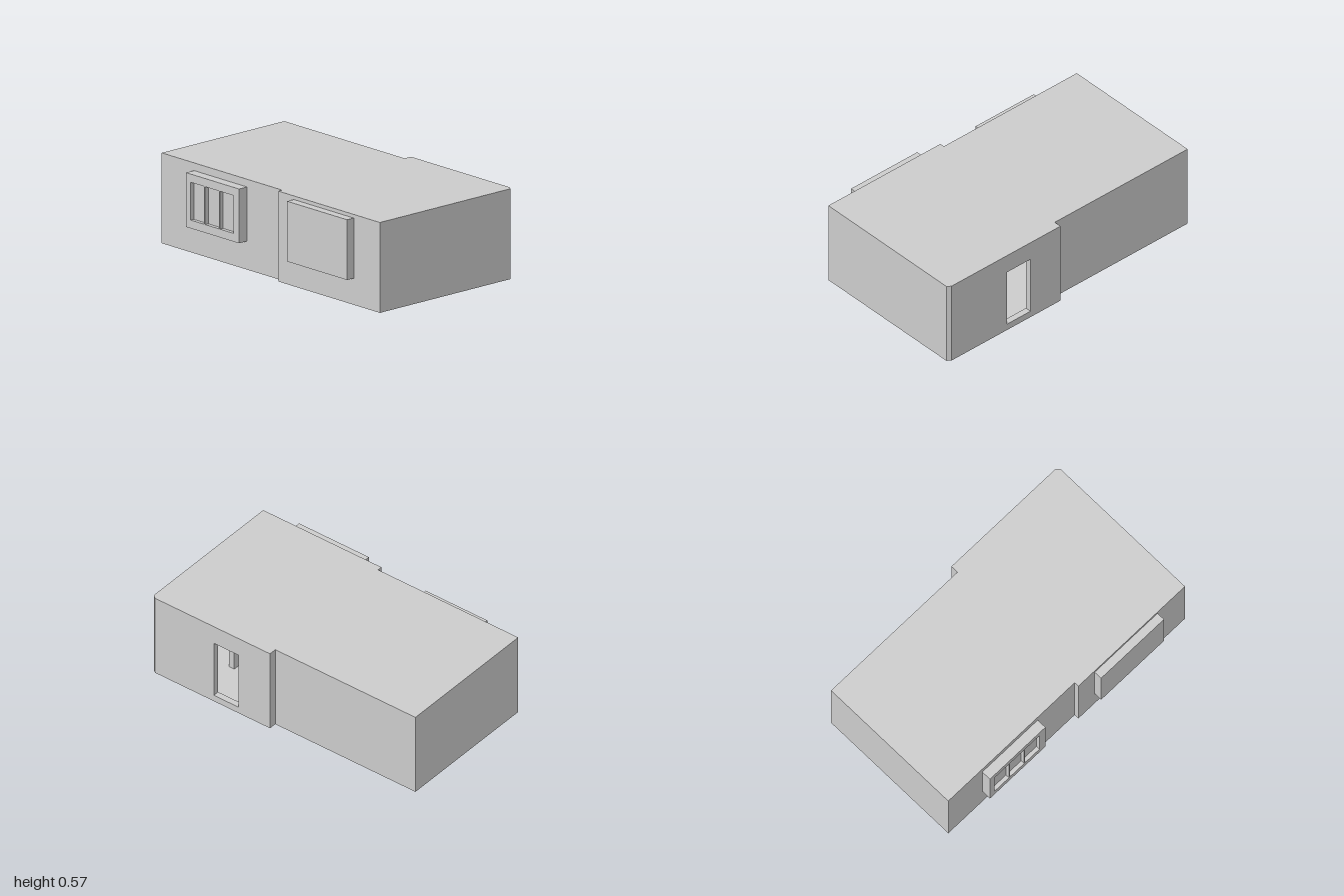
import * as THREE from 'three';

const material = new THREE.MeshStandardMaterial({ color: 0xcccccc, flatShading: true });
const HEIGHT = 0.573, CEILING = 0.535, FLOOR = 0.024;

function outline(points) {
  return new THREE.Shape(points.map(([x, y]) => new THREE.Vector2(x, y)));
}

const rect = (u0, v0, u1, v1) => [[u0, v0], [u1, v0], [u1, v1], [u0, v1]];

function extrude(shape, depth) {
  return new THREE.ExtrudeGeometry(shape, { depth, bevelEnabled: false });
}

export function createModel() {
  const model = new THREE.Group();

  function add(name, geometry, parent = model) {
    const mesh = new THREE.Mesh(geometry, material);
    mesh.name = name;
    parent.add(mesh);
  }

  // Horizontal slab from a plan outline given as [x, z]
  function slab(name, plan, y0, y1) {
    const g = extrude(outline(plan.map(([x, z]) => [x, -z])), y1 - y0);
    add(name, g.rotateX(-Math.PI / 2).translate(0, y0, 0));
  }

  // Upright panel along x or z; holes are [from, bottom, to, top]
  function panel(name, axis, from, to, y0, y1, near, far, holes = [], parent = model) {
    const shape = outline(rect(from, y0, to, y1));
    holes.forEach((h) => shape.holes.push(outline(rect(...h))));
    const g = extrude(shape, far - near);
    if (axis === 'z') g.rotateY(-Math.PI / 2).translate(far, 0, 0);
    else g.translate(0, 0, near);
    add(name, g, parent);
  }

  function wall(name, axis, from, to, near, far, holes) {
    panel(name, axis, from, to, 0, CEILING, near, far, holes);
  }

  // Roof over both blocks, with the clipped front corner
  slab('roof', [
    [-0.49, -1], [0.52, -1], [0.52, 0.085], [0.572, 0.085], [0.572, 0.975],
    [0.553, 1], [-0.522, 1], [-0.522, 0.085], [-0.49, 0.085],
  ], CEILING, HEIGHT);

  // Outer walls of the rear block
  wall('rearWall', 'x', -0.49, 0.52, -1, -0.96);
  wall('rearBlockLeftWall', 'z', -0.96, 0.085, 0.48, 0.52);
  wall('rearBlockRightWall', 'z', -0.96, 0.085, -0.49, -0.45);

  // Outer walls of the front block, the left one with the entrance
  wall('entranceWall', 'z', 0.085, 0.97, 0.53, 0.572, [[0.33, 0.045, 0.52, 0.445]]);
  wall('frontBlockRightWall', 'z', 0.085, 0.97, -0.522, -0.49);
  wall('frontWall', 'x', -0.522, 0.53, 0.97, 1);
  slab('clippedCorner', [[0.53, 0.97], [0.572, 0.97], [0.572, 0.975], [0.553, 1], [0.53, 1]], 0, CEILING);

  // Inner partitions with doorways
  wall('middlePartition', 'x', -0.49, 0.53, 0.085, 0.105, [[0.12, FLOOR, 0.33, 0.445]]);
  wall('longPartition', 'z', 0.105, 0.97, 0.03, 0.075);
  wall('shortPartition', 'x', 0.075, 0.53, 0.6, 0.64, [[0.27, FLOOR, 0.47, 0.445]]);

  // Floors: flush at the rear, raised inside the front rooms
  slab('rearFloor', rect(-0.45, -0.96, 0.48, 0.085), 0, FLOOR);
  [
    ['hallFloor', 0.075, 0.105, 0.53, 0.6],
    ['smallRoomFloor', 0.075, 0.64, 0.53, 0.97],
    ['longRoomFloor', -0.49, 0.105, 0.03, 0.97],
  ].forEach(([name, ...r]) => slab(name, rect(...r), FLOOR - 0.006, FLOOR));

  // Projecting closed window box on the front block
  panel('closedWindowBox', 'z', 0.225, 0.765, 0.168, 0.55, -0.577, -0.522);

  // Projecting window box on the rear block with three sunken panes
  const window = new THREE.Group();
  window.name = 'paneWindow';
  model.add(window);
  const panes = [-0.667, -0.536, -0.405].map((z) => [z, 0.232, z + 0.122, 0.472]);
  panel('windowFrame', 'z', -0.708, -0.232, 0.18, 0.524, -0.556, -0.53, panes, window);
  panel('windowPanes', 'z', -0.708, -0.232, 0.18, 0.524, -0.53, -0.49, [], window);

  return model;
}
